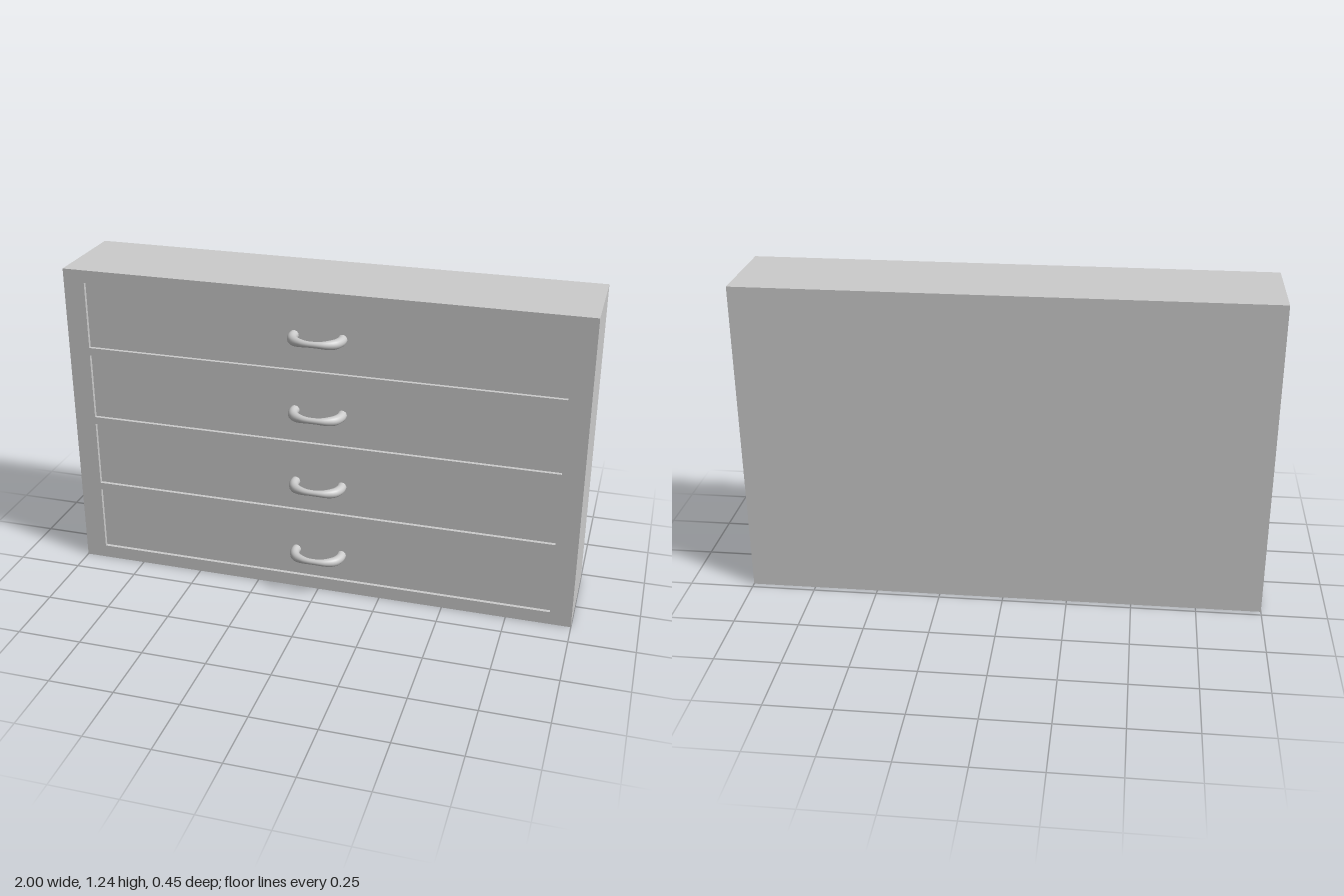
import * as THREE from 'three';

const W = 2, H = 1.243, FRONT = 0.149, BACK = -0.227, RECESS = 0.014;
const DRAWER_W = 1.834, DRAWER_H = 0.263;
const DRAWER_Y = [0.184, 0.477, 0.769, 1.062];
const HANDLE_Y = [0.162, 0.464, 0.765, 1.066];

const material = new THREE.MeshStandardMaterial({ color: 0xcccccc, side: THREE.DoubleSide });

// Thin flat sheet facing +z before it is turned
function sheet(name, w, h, [x, y, z], rx = 0, ry = 0) {
  const mesh = new THREE.Mesh(new THREE.PlaneGeometry(w, h), material);
  mesh.name = name;
  mesh.position.set(x, y, z);
  mesh.rotation.set(rx, ry, 0);
  return mesh;
}

// Open-bottomed shell with a front frame cut out for the drawers
function makeCase() {
  const group = new THREE.Group();
  group.name = 'case';
  const depth = FRONT - BACK, midZ = (FRONT + BACK) / 2, q = Math.PI / 2;
  group.add(
    sheet('backPanel', W, H, [0, H / 2, BACK], 0, Math.PI),
    sheet('topPanel', W, depth, [0, H, midZ], -q),
    sheet('leftSide', depth, H, [W / 2, H / 2, midZ], 0, q),
    sheet('rightSide', depth, H, [-W / 2, H / 2, midZ], 0, -q)
  );
  const rect = (C, x, y0, y1) => new C([
    new THREE.Vector2(-x, y0), new THREE.Vector2(x, y0),
    new THREE.Vector2(x, y1), new THREE.Vector2(-x, y1)
  ]);
  const face = rect(THREE.Shape, W / 2, 0, H);
  for (const y of DRAWER_Y) {
    face.holes.push(rect(THREE.Path, DRAWER_W / 2, y - DRAWER_H / 2, y + DRAWER_H / 2));
  }
  const frame = new THREE.Mesh(new THREE.ShapeGeometry(face), material);
  frame.name = 'frontFrame';
  frame.position.z = FRONT;
  group.add(frame);
  return group;
}

// Recessed drawer front with the four shallow walls around it
function makeDrawer(y) {
  const group = new THREE.Group();
  group.name = 'drawer';
  const z = FRONT - RECESS / 2, q = Math.PI / 2;
  group.add(sheet('drawerFront', DRAWER_W, DRAWER_H, [0, y, FRONT - RECESS]));
  for (const s of [-1, 1]) {
    group.add(
      sheet('recessSide', RECESS, DRAWER_H, [s * DRAWER_W / 2, y, z], 0, -s * q),
      sheet('recessEdge', DRAWER_W, RECESS, [0, y + s * DRAWER_H / 2, z], s * q)
    );
  }
  return group;
}

// Bow handle: a bent tube that is thick at the feet and slim in the middle
function makeHandleGeometry() {
  const half = [[0.092, 0.131], [0.092, 0.16], [0.078, 0.192], [0.045, 0.211]];
  const points = [...half, [0, 0.216], ...half.map(([x, z]) => [-x, z]).reverse()];
  const curve = new THREE.CatmullRomCurve3(points.map(([x, z]) => new THREE.Vector3(x, 0, z)));
  const steps = 32, sides = 16;
  const geometry = new THREE.TubeGeometry(curve, steps, 1, sides);
  const pos = geometry.attributes.position, v = new THREE.Vector3();
  for (let i = 0; i <= steps; i++) {
    const c = curve.getPointAt(i / steps);
    const r = 0.0115 + 0.007 * THREE.MathUtils.smoothstep(Math.abs(c.x), 0.01, 0.085);
    for (let j = 0; j <= sides; j++) {
      const k = i * (sides + 1) + j;
      v.fromBufferAttribute(pos, k).sub(c).multiplyScalar(r).add(c);
      pos.setXYZ(k, v.x, v.y, v.z);
    }
  }
  geometry.computeBoundingSphere();
  return geometry;
}

export function createModel() {
  const model = new THREE.Group();
  model.name = 'chestOfDrawers';
  model.add(makeCase());
  const handleGeometry = makeHandleGeometry();
  DRAWER_Y.forEach((y, i) => {
    const drawer = makeDrawer(y);
    const handle = new THREE.Mesh(handleGeometry, material);
    handle.name = 'handle';
    handle.position.y = HANDLE_Y[i];
    drawer.add(handle);
    model.add(drawer);
  });
  return model;
}
